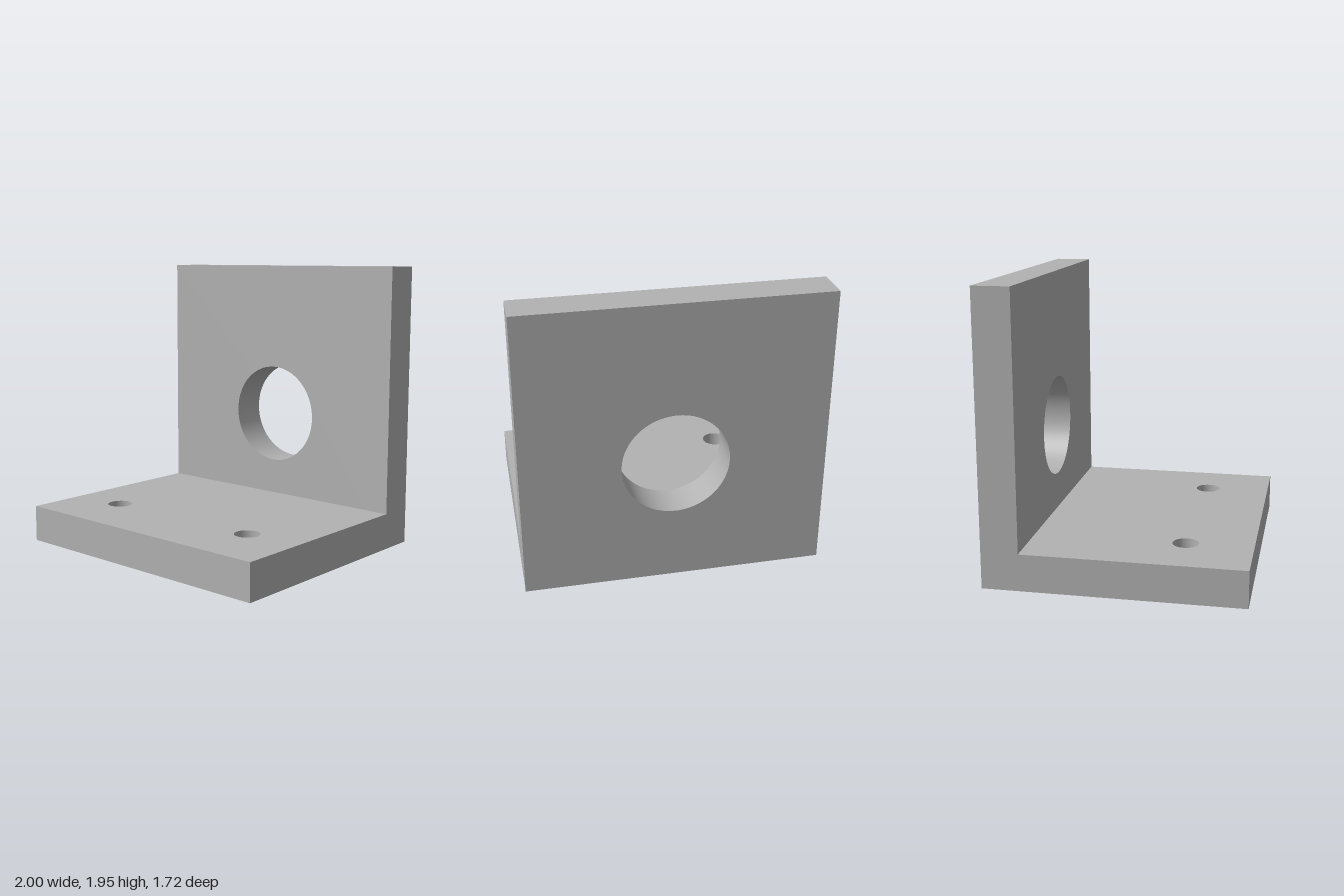
import * as THREE from 'three';
import { toCreasedNormals } from 'three/addons/utils/BufferGeometryUtils.js';

const WIDTH = 2, HEIGHT = 1.95, THICK = 0.25, BACK = -0.86, FRONT = 0.86;

// Flat plate spanning y0..y1 with round through-holes [x, y, radius]
function drilledPlate(y0, y1, holes) {
  const w = WIDTH / 2;
  const shape = new THREE.Shape([
    new THREE.Vector2(-w, y0), new THREE.Vector2(w, y0),
    new THREE.Vector2(w, y1), new THREE.Vector2(-w, y1),
  ]);
  for (const [x, y, r] of holes) {
    shape.holes.push(new THREE.Path().absarc(x, y, r, 0, Math.PI * 2, true));
  }
  const geo = new THREE.ExtrudeGeometry(shape, { depth: THICK, bevelEnabled: false, curveSegments: 64 });
  return toCreasedNormals(geo, Math.PI / 6);
}

export function createModel() {
  const group = new THREE.Group();
  group.name = 'angleBracket';
  const grey = new THREE.MeshStandardMaterial({ color: 0xb2b2b2 });
  grey.name = 'grey';

  // Upright plate with the large bore
  const upright = new THREE.Mesh(drilledPlate(0, HEIGHT, [[0, 0.853, 0.352]]), grey);
  upright.name = 'uprightPlate';
  upright.position.z = BACK;

  // Base plate with two mounting holes, laid flat (shape y becomes -z)
  const holes = [-0.6, 0.6].map((x) => [x, -0.41, 0.087]);
  const base = new THREE.Mesh(drilledPlate(-FRONT, -(BACK + THICK), holes), grey);
  base.name = 'basePlate';
  base.rotation.x = -Math.PI / 2;

  group.add(upright, base);
  return group;
}
